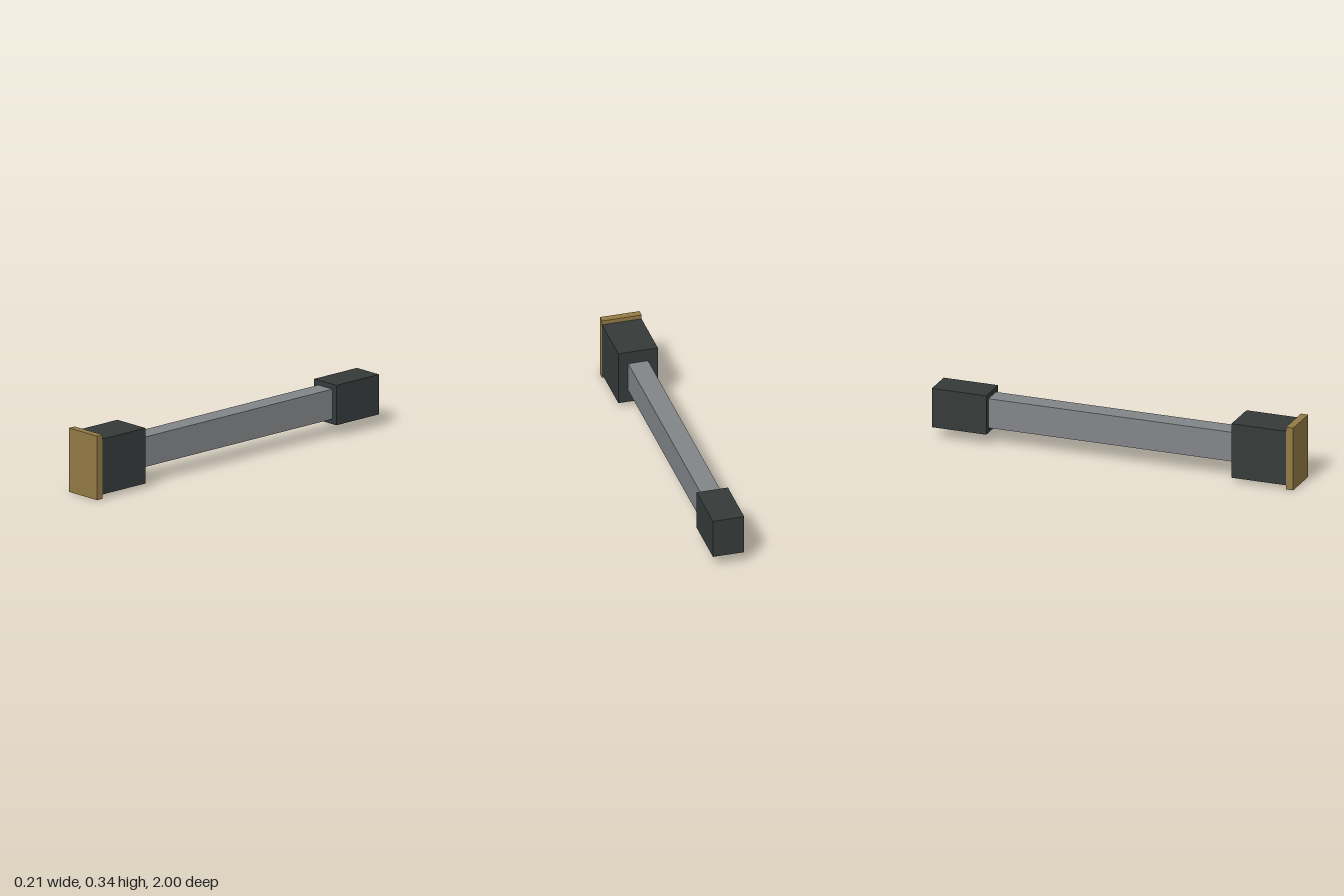
import * as THREE from 'three';

export function createModel() {
  const model = new THREE.Group();
  const material = (name, color) => {
    const m = new THREE.MeshStandardMaterial({ color });
    m.name = name;
    return m;
  };
  const dark = material('dark slate', 0x353b3a);
  const grey = material('steel grey', 0x828588);
  const gold = material('dull gold', 0x937a45);

  // All parts are boxes centred on one axis along z
  const axisY = 0.1705;
  const addBox = (name, mat, width, height, zBack, zFront) => {
    const mesh = new THREE.Mesh(new THREE.BoxGeometry(width, height, zFront - zBack), mat);
    mesh.name = name;
    mesh.position.set(0, axisY, (zBack + zFront) / 2);
    model.add(mesh);
  };

  // Front plate, slightly taller than the block behind it
  addBox('frontPlate', gold, 0.212, 0.341, 0.96, 1);
  // Large front block
  addBox('frontBlock', dark, 0.211, 0.296, 0.66, 0.96);
  // Long connecting bar
  addBox('bar', grey, 0.106, 0.16, -0.7, 0.66);
  // Smaller rear block
  addBox('rearBlock', dark, 0.167, 0.213, -1, -0.7);

  return model;
}
